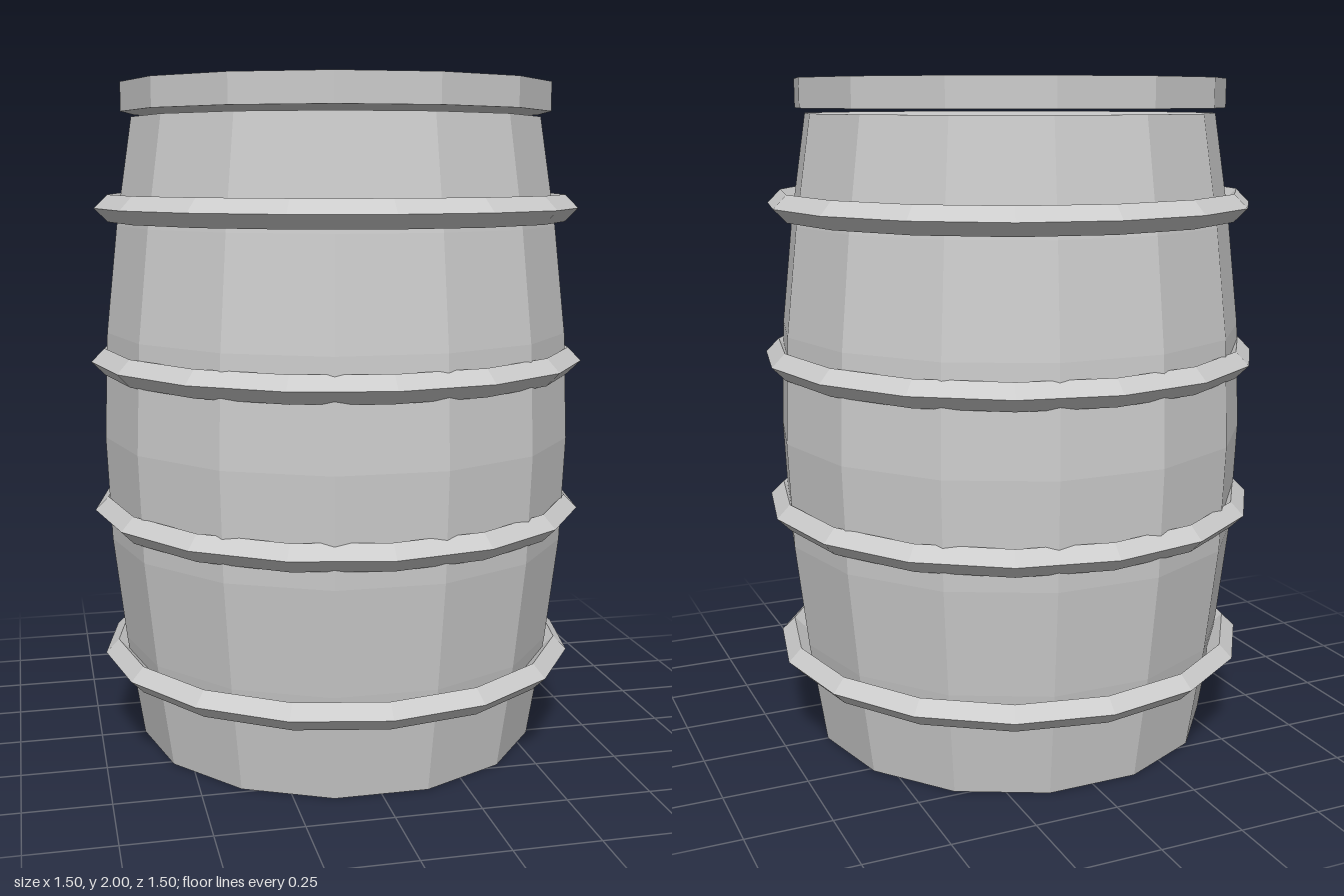
import * as THREE from 'three';

const SIDES = 14;
const START = Math.PI / SIDES; // puts a corner on the x axis

export function createModel() {
  const barrel = new THREE.Group();
  barrel.name = 'barrel';
  const grey = new THREE.MeshStandardMaterial({ color: 0xcccccc, flatShading: true });
  grey.name = 'grey';

  const add = (name, geometry, y) => {
    const mesh = new THREE.Mesh(geometry, grey);
    mesh.name = name;
    mesh.position.y = y;
    barrel.add(mesh);
  };

  // Bulging body: a capped cylinder whose rows swell towards the middle
  const height = 1.9;
  const body = new THREE.CylinderGeometry(0.615, 0.615, height, SIDES, 6, false, START);
  const p = body.attributes.position;
  for (let i = 0; i < p.count; i++) {
    const t = p.getY(i) / height + 0.5;
    const swell = 1 + 0.16 * Math.sin(Math.PI * t);
    p.setXYZ(i, p.getX(i) * swell, p.getY(i), p.getZ(i) * swell);
  }
  body.computeVertexNormals();
  add('body', body, height / 2);

  // Lid, floating just above the body
  add('lid', new THREE.CylinderGeometry(0.645, 0.645, 0.085, SIDES, 1, false, START), 1.9575);

  // Diamond-section hoops, slightly wider around the belly
  const hoops = [[0.27, 0.69], [0.725, 0.71], [1.18, 0.71], [1.635, 0.69]];
  hoops.forEach(([y, radius], i) => {
    const hoop = new THREE.TorusGeometry(radius, 0.04, 4, 16).rotateX(Math.PI / 2);
    add(`hoop${i + 1}`, hoop, y);
  });

  return barrel;
}
